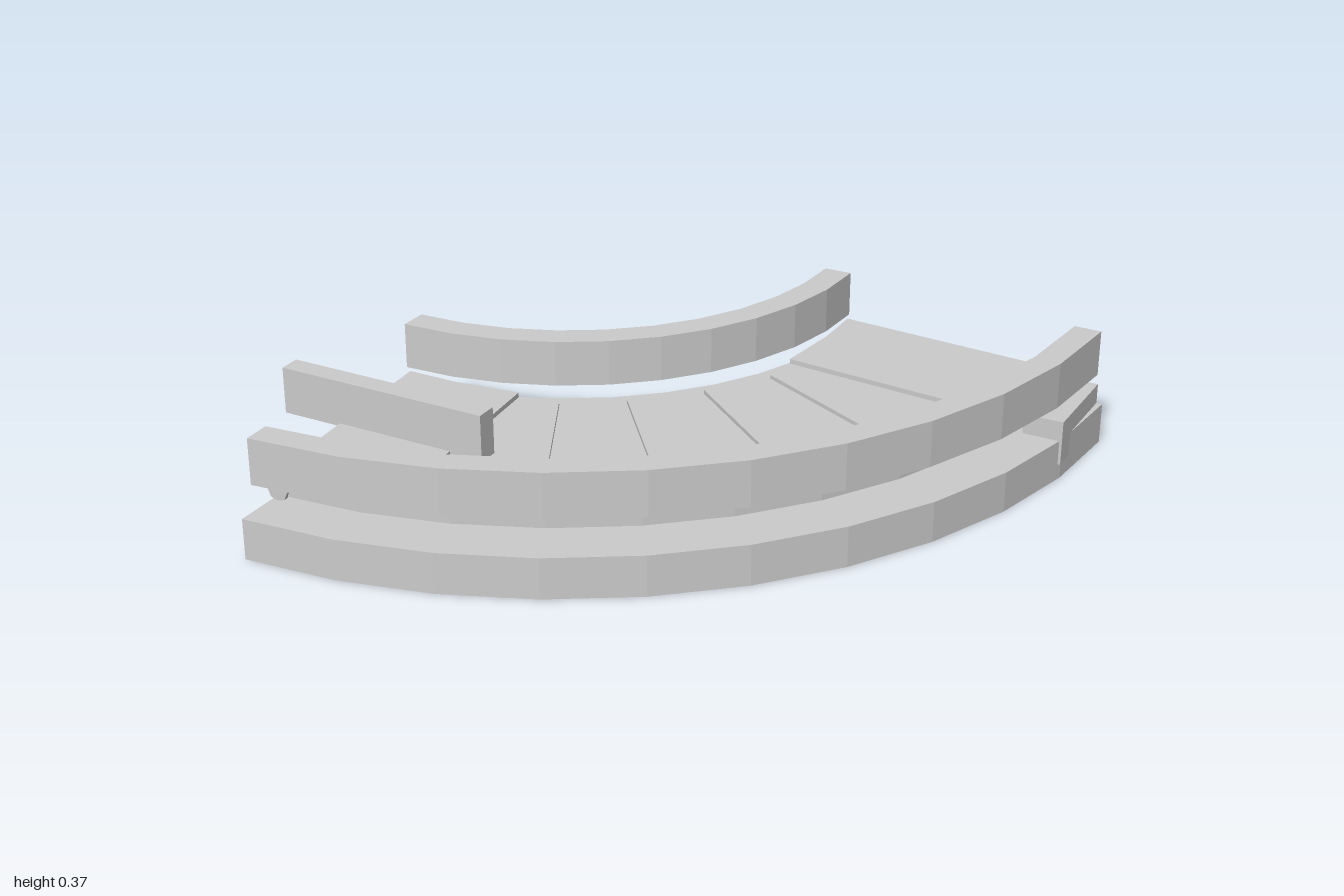
import * as THREE from 'three';

// Curved conveyor: every arc shares one centre of curvature in plan
const CX = -0.815, CZ = -0.89;
const material = new THREE.MeshStandardMaterial({ color: 0xcccccc, flatShading: true });

function add(parent, name, geometry) {
  const mesh = new THREE.Mesh(geometry, material);
  mesh.name = name;
  parent.add(mesh);
  return mesh;
}

// Extrude a plan outline, given as [x, z] from the arc centre, between two heights
function slab(points, y0, y1) {
  const shape = new THREE.Shape(points.map(([x, z]) => new THREE.Vector2(x, z)));
  const geometry = new THREE.ExtrudeGeometry(shape, { depth: y1 - y0, bevelEnabled: false });
  return geometry.rotateX(Math.PI / 2).translate(CX, y1, CZ);
}

// Outline of a faceted ring sector, angles in degrees from +x towards +z
function sector(r0, r1, a0, a1, segments = 10) {
  const outer = [], inner = [];
  for (let i = 0; i <= segments; i++) {
    const a = THREE.MathUtils.degToRad(a0 + (a1 - a0) * i / segments);
    outer.push([r1 * Math.cos(a), r1 * Math.sin(a)]);
    inner.unshift([r0 * Math.cos(a), r0 * Math.sin(a)]);
  }
  return [...outer, ...inner];
}

function box(x0, x1, y0, y1, z0, z1) {
  return new THREE.BoxGeometry(x1 - x0, y1 - y0, z1 - z0)
    .translate((x0 + x1) / 2, (y0 + y1) / 2, (z0 + z1) / 2);
}

export function createModel() {
  const model = new THREE.Group();
  model.name = 'curvedConveyor';

  // Base, belt and the two floating guard rails
  add(model, 'base', slab(sector(0.895, 1.815, 0, 90), 0, 0.125));
  add(model, 'belt', slab(sector(1.0, 1.67, 0.5, 89.5), 0.137, 0.207));
  add(model, 'innerRail', slab(sector(0.88, 0.965, -1.9, 91.9), 0.232, 0.372));
  add(model, 'outerRail', slab(sector(1.72, 1.803, 1, 89), 0.232, 0.372));

  // Thin cleats across the belt, on its top and its returning underside
  for (const degrees of [26, 38.4, 51.3, 63.5]) {
    for (const [name, y] of [['topCleat', 0.21], ['bottomCleat', 0.134]]) {
      const cleat = add(model, name, new THREE.BoxGeometry(0.585, 0.018, 0.025));
      const a = THREE.MathUtils.degToRad(degrees);
      cleat.position.set(CX + 1.34 * Math.cos(a), y, CZ + 1.34 * Math.sin(a));
      cleat.rotation.y = -a;
    }
  }

  // Cover plate and roller at each end, mirrored across the diagonal
  const plate = [[0.965, -0.02], [1.715, 0.03], [1.71, 0.19], [1.665, 0.405], [0.94, 0.345], [0.965, 0.14]];
  for (const mirrored of [false, true]) {
    const place = ([x, z]) => (mirrored ? [z, x] : [x, z]);
    const end = new THREE.Group();
    end.name = mirrored ? 'frontEnd' : 'backEnd';
    add(end, 'endPlate', slab(plate.map(place), 0.187, 0.222));

    const [ax, az] = place([0.98, -0.01]), [bx, bz] = place([1.68, 0.02]);
    const roller = add(end, 'endRoller', new THREE.CylinderGeometry(0.032, 0.032, Math.hypot(bx - ax, bz - az), 8));
    roller.position.set(CX + (ax + bx) / 2, 0.155, CZ + (az + bz) / 2);
    roller.quaternion.setFromUnitVectors(
      new THREE.Vector3(0, 1, 0), new THREE.Vector3(bx - ax, 0, bz - az).normalize());
    model.add(end);
  }

  // Arm reaching over the front end, and drive housing by the back end
  add(model, 'sideArm', box(-1, -0.33, 0.213, 0.355, 0.405, 0.47));
  add(model, 'driveHousing', box(0.86, 0.982, 0.05, 0.187, -0.81, -0.59));
  add(model, 'driveShaftCover', box(0.86, 0.982, 0.125, 0.187, -0.89, -0.81));

  return model;
}
